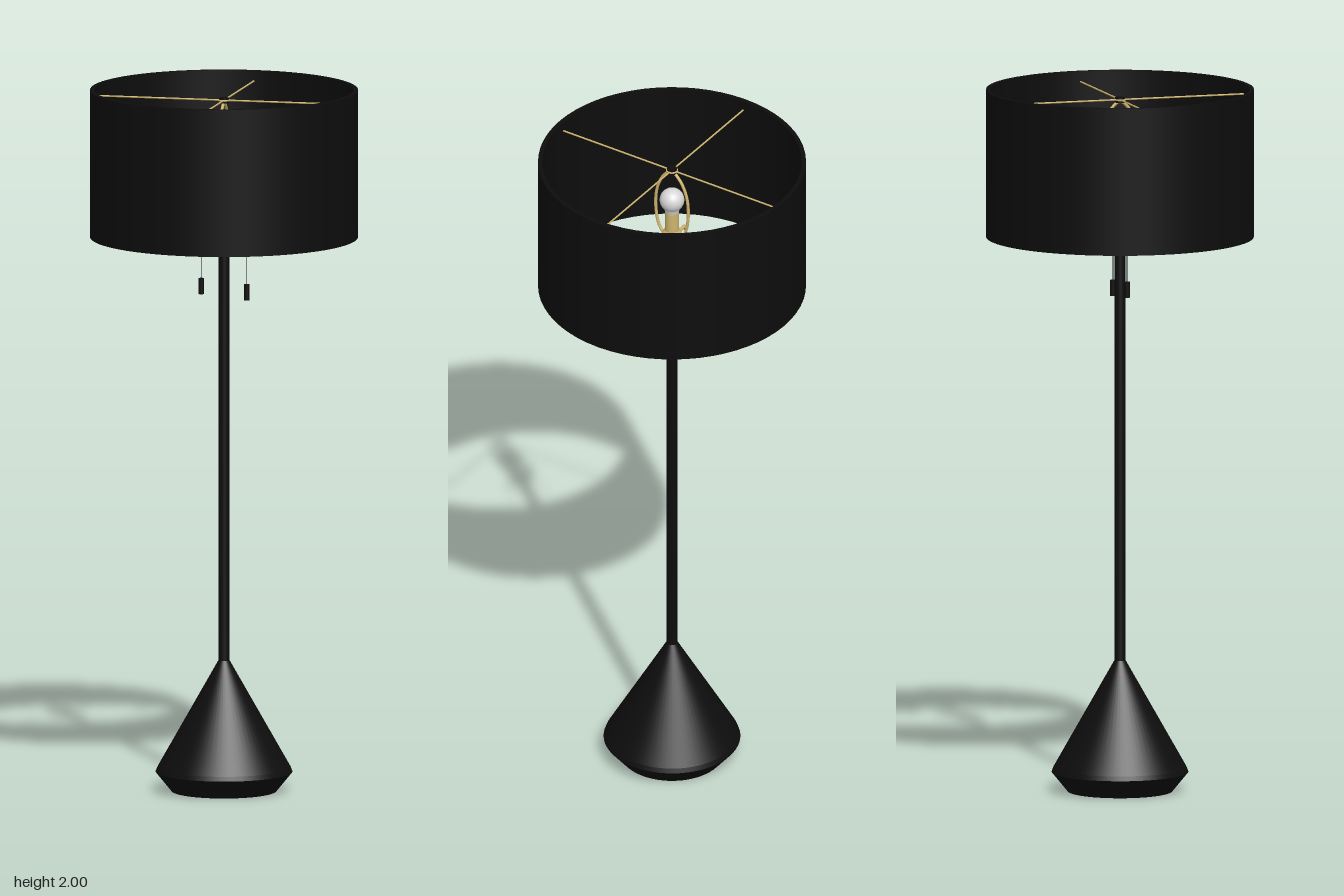
import * as THREE from 'three';

const material = (name, color, side = THREE.FrontSide) => {
  const m = new THREE.MeshStandardMaterial({ color, side });
  m.name = name;
  return m;
};

export function createModel() {
  const lamp = new THREE.Group();
  lamp.name = 'floorLamp';
  const black = material('matte black', 0x0d0d0d);
  const brass = material('brass', 0xcdb46c);
  const glass = material('frosted bulb', 0xd8d8d8);

  const add = (name, geometry, mat, x = 0, y = 0, z = 0) => {
    const mesh = new THREE.Mesh(geometry, mat);
    mesh.name = name;
    mesh.position.set(x, y, z);
    lamp.add(mesh);
    return mesh;
  };
  const cylinder = (name, r, y0, y1, mat, x = 0, z = 0, sides = 24) =>
    add(name, new THREE.CylinderGeometry(r, r, y1 - y0, sides), mat, x, (y0 + y1) / 2, z);
  // Lathe with hard edges: each profile segment gets its own surface
  const facetedLathe = (name, profile, mat) => {
    for (let i = 0; i < profile.length - 1; i++) {
      const pair = [profile[i], profile[i + 1]].map(([r, y]) => new THREE.Vector2(r, y));
      add(name, new THREE.LatheGeometry(pair, 64), mat);
    }
  };

  // Weighted cone base and pole
  facetedLathe('base', [[0, 0], [0.148, 0], [0.193, 0.055], [0.188, 0.068], [0.016, 0.372], [0, 0.372]], black);
  cylinder('pole', 0.016, 0.36, 1.69, black);

  // Hollow drum shade, open at both ends
  facetedLathe('shade', [[0.366, 1.58], [0.378, 1.58], [0.378, 2], [0.366, 2], [0.366, 1.58]], black);

  // Brass socket with a stepped collar
  facetedLathe('socket', [
    [0, 1.68], [0.018, 1.68], [0.018, 1.72], [0.028, 1.73], [0.028, 1.76],
    [0.02, 1.77], [0.02, 1.83], [0, 1.83],
  ], brass);

  // Round bulb with a tapered neck
  add('bulb', new THREE.SphereGeometry(0.035, 32, 20), glass, 0, 1.87, 0);
  add('bulbNeck', new THREE.CylinderGeometry(0.026, 0.017, 0.03, 24, 1, true), glass, 0, 1.838, 0);

  // Harp looping around the bulb, front to back
  const harpPath = new THREE.CatmullRomCurve3([
    [1.745, 0.026], [1.775, 0.045], [1.84, 0.055], [1.9, 0.048], [1.945, 0.026], [1.965, 0],
    [1.945, -0.026], [1.9, -0.048], [1.84, -0.055], [1.775, -0.045], [1.745, -0.026],
  ].map(([y, z]) => new THREE.Vector3(0, y, z)));
  add('harp', new THREE.TubeGeometry(harpPath, 64, 0.0045, 8), brass);

  // Four thin spider arms holding the shade
  for (let i = 0; i < 4; i++) {
    const arm = new THREE.CylinderGeometry(0.0025, 0.0025, 0.354, 8);
    arm.rotateZ(Math.PI / 2);
    arm.translate(0.191, 0, 0);
    add('spiderArm', arm, brass, 0, 1.97, 0).rotation.y = (i * Math.PI) / 2;
  }
  const ring = new THREE.TorusGeometry(0.015, 0.0025, 8, 32);
  ring.rotateX(Math.PI / 2);
  add('spiderRing', ring, brass, 0, 1.97, 0);
  cylinder('finial', 0.014, 1.962, 1.977, black);

  // Pull chains on short side arms
  for (const [side, bottom, top] of [[-1, 1.415, 1.46], [1, 1.402, 1.447]]) {
    const arm = new THREE.CylinderGeometry(0.005, 0.005, 0.05, 10);
    arm.rotateZ(Math.PI / 2);
    add('switchArm', arm, brass, side * 0.042, 1.745, 0);
    cylinder('pullChain', 0.0012, top, 1.745, black, side * 0.066, 0, 6);
    cylinder('pullHandle', 0.008, bottom, top, black, side * 0.066, 0, 12);
  }

  return lamp;
}
